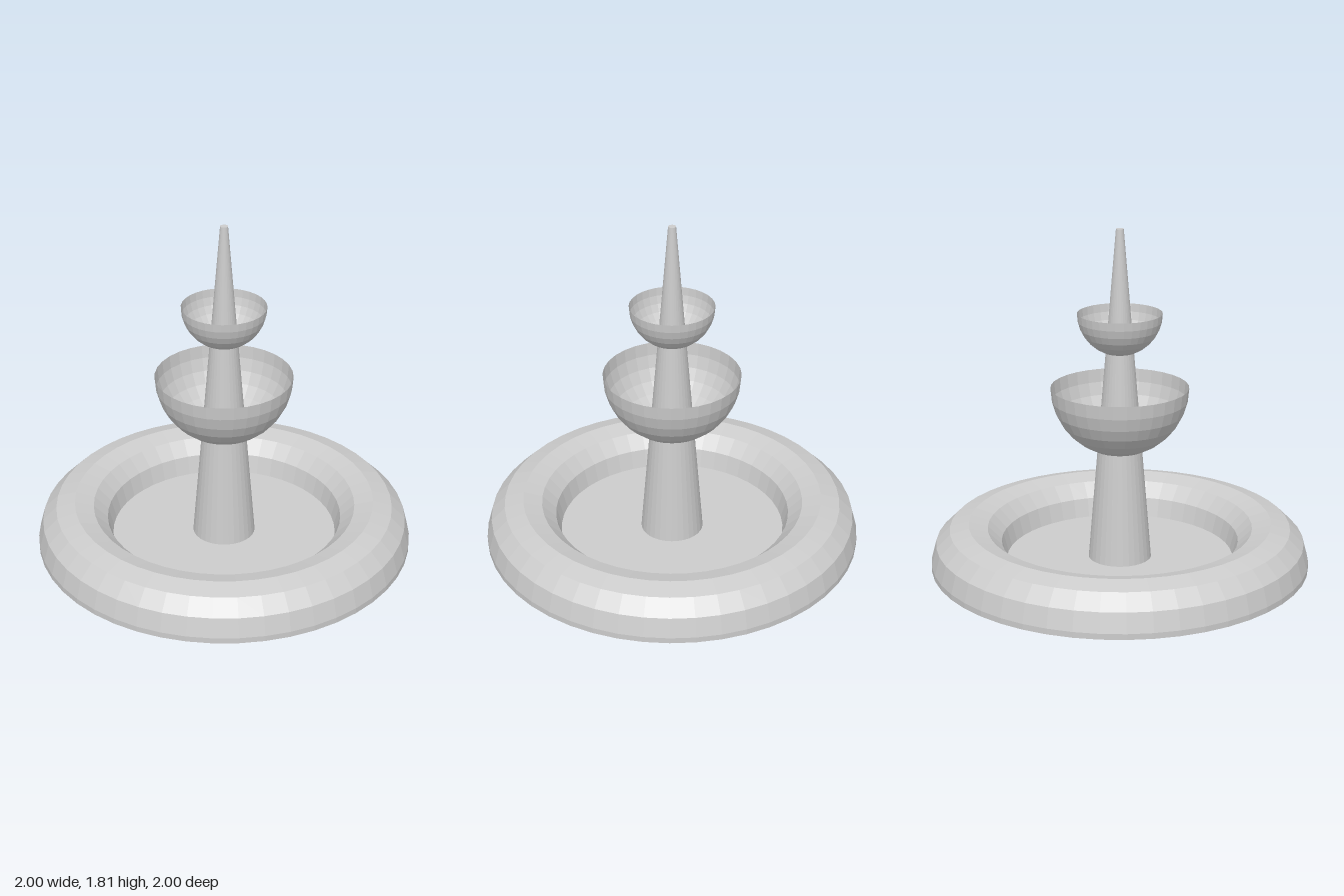
import * as THREE from 'three';

export function createModel() {
  const group = new THREE.Group();
  group.name = 'fountain';
  const solid = new THREE.MeshStandardMaterial({ color: 0xcccccc, flatShading: true });
  const shell = new THREE.MeshStandardMaterial({ color: 0xcccccc, flatShading: true, side: THREE.DoubleSide });

  const add = (name, geometry, material, y) => {
    const mesh = new THREE.Mesh(geometry, material);
    mesh.name = name;
    mesh.position.y = y;
    group.add(mesh);
  };

  // Rounded basin rim: upper half of a ring with a twelve-sided tube
  const rim = [];
  for (let i = 0; i <= 6; i++) {
    const a = (i / 6) * Math.PI;
    rim.push(new THREE.Vector2(0.8 + 0.2 * Math.cos(a), 0.2 * Math.sin(a)));
  }
  add('basinRim', new THREE.LatheGeometry(rim, 48), shell, 0.045);

  // Thin floor slab closing the basin
  add('basinFloor', new THREE.CylinderGeometry(1, 1, 0.03, 48), solid, 0.03);

  // One tapering column runs through both bowls
  const height = 1.81;
  add('column', new THREE.CylinderGeometry(0.02, 0.17, height, 32), solid, height / 2);

  // Open hemispherical bowls
  const bowl = (name, radius, y) => add(
    name,
    new THREE.SphereGeometry(radius, 32, 8, 0, Math.PI * 2, Math.PI / 2, Math.PI / 2),
    shell, y
  );
  bowl('lowerBowl', 0.36, 0.98);
  bowl('upperBowl', 0.22, 1.373);

  return group;
}
